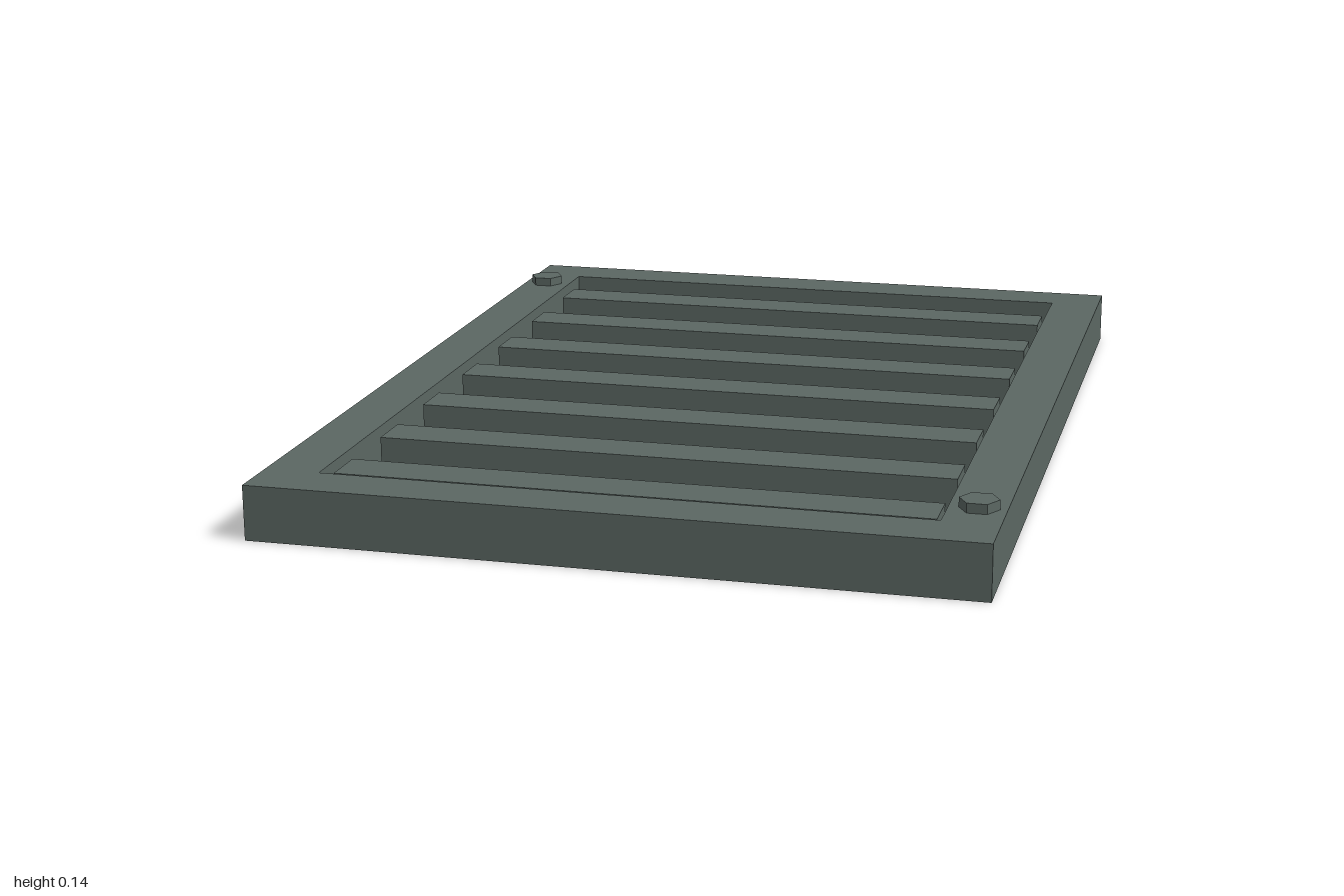
import * as THREE from 'three';

export function createModel() {
  const group = new THREE.Group();
  const iron = new THREE.MeshStandardMaterial({ color: 0x5b6763 });
  iron.name = 'grey green iron';

  const add = (name, geometry, x, y, z) => {
    const mesh = new THREE.Mesh(geometry, iron);
    mesh.name = name;
    mesh.position.set(x, y, z);
    group.add(mesh);
  };

  // Rectangular frame with one open window, extruded upwards
  const rectangle = (path, w, d) => {
    path.moveTo(-w, -d);
    path.lineTo(w, -d);
    path.lineTo(w, d);
    path.lineTo(-w, d);
    path.closePath();
    return path;
  };
  const outline = rectangle(new THREE.Shape(), 0.742, 1);
  outline.holes.push(rectangle(new THREE.Path(), 0.627, 0.888));
  const frame = new THREE.ExtrudeGeometry(outline, { depth: 0.115, bevelEnabled: false });
  frame.rotateX(-Math.PI / 2);
  add('frame', frame, 0, 0, 0);

  // Seven slats, slightly clear of the frame
  const slat = new THREE.BoxGeometry(1.226, 0.09, 0.1);
  for (let i = 0; i < 7; i++) add('slat' + (i + 1), slat, 0, 0.057, 0.023 + (i - 3) * 0.2575);

  // Hexagonal bolt heads on opposite corners
  const bolt = new THREE.CylinderGeometry(0.04, 0.04, 0.02, 6).toNonIndexed();
  bolt.rotateY(Math.PI / 2);
  bolt.computeVertexNormals();
  for (const side of [-1, 1]) add(side < 0 ? 'backBolt' : 'frontBolt', bolt, side * 0.687, 0.125, side * 0.8);

  return group;
}
